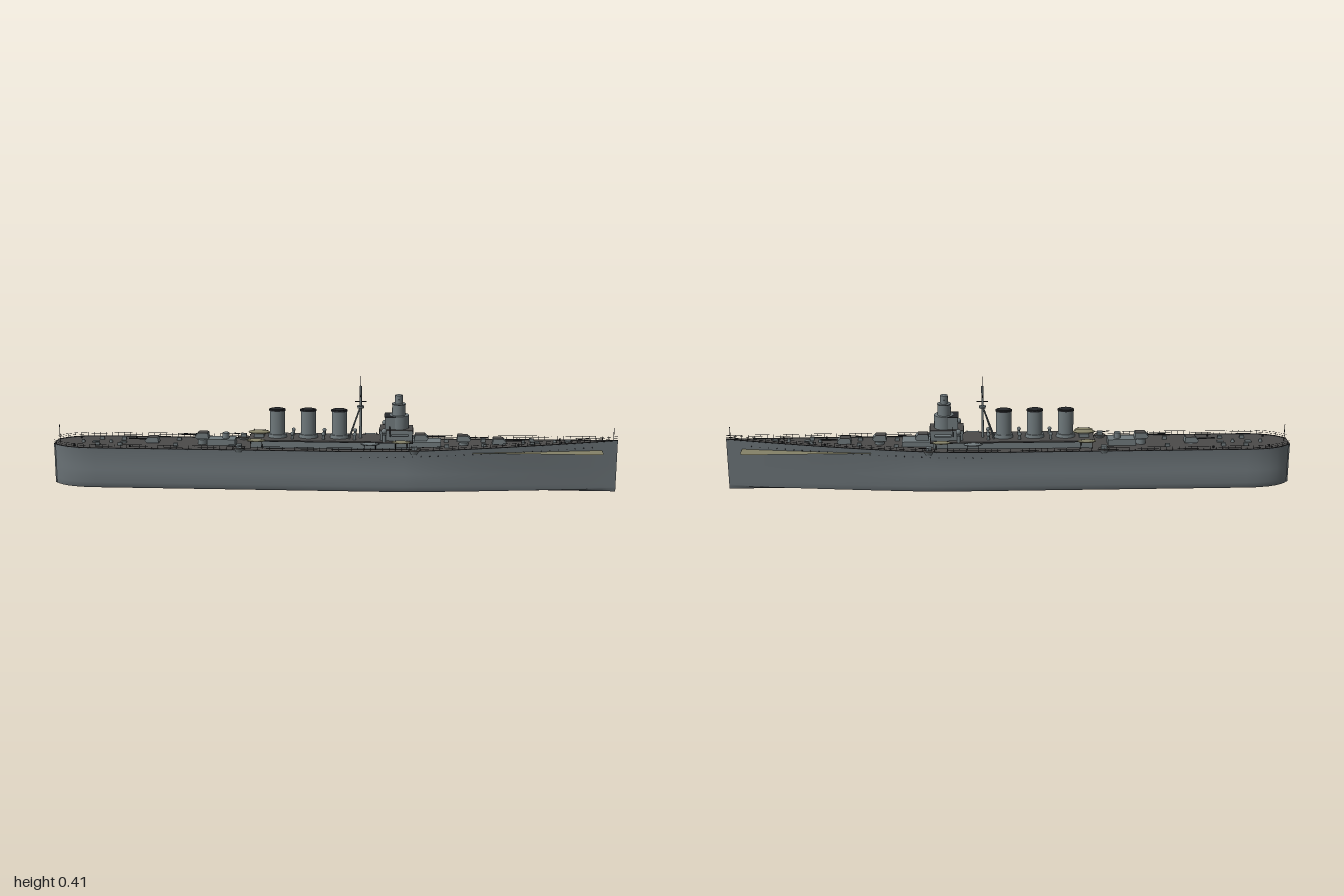
import * as THREE from 'three';
import { mergeGeometries, toCreasedNormals } from 'three/addons/utils/BufferGeometryUtils.js';

const mat = (name, color, side = THREE.FrontSide) => {
  const m = new THREE.MeshStandardMaterial({ color, side });
  m.name = name;
  return m;
};

// Half beam and deck height along the ship; lower levels are finer at the bow
function beam(x, low = 0) {
  if (x < -0.84) return 0.0875 * Math.max(0.36, Math.sqrt(Math.max(0, 1 - ((-0.84 - x) / 0.165) ** 2.3)));
  if (x < 0.25) return 0.0875;
  return Math.max(0.0006, 0.0875 * (1 - ((x - 0.25) / 0.75) ** (1.4 - 0.25 * low)));
}
const deckY = (x) => 0.155 + 0.032 * Math.max(0, (x - 0.1) / 0.9) ** 1.3;
const stations = [-1, -0.995, -0.985, -0.97, -0.95, -0.92, -0.88, -0.84];
for (let x = -0.7; x < 0.2; x += 0.15) stations.push(x);
for (let x = 0.25; x <= 1.001; x += 0.05) stations.push(Math.min(x, 1));

// Skin a list of rings of points
function loft(rings) {
  const pos = rings.flat(2), idx = [], n = rings[0].length;
  for (let i = 0; i < rings.length - 1; i++) for (let j = 0; j < n - 1; j++) {
    const a = i * n + j, b = a + n;
    idx.push(a, b, a + 1, b, b + 1, a + 1);
  }
  const g = new THREE.BufferGeometry();
  g.setAttribute('position', new THREE.Float32BufferAttribute(pos, 3));
  g.setIndex(idx);
  return toCreasedNormals(g, 0.6);
}

export function createModel() {
  const ship = new THREE.Group();
  ship.name = 'cruiser';
  const hullGrey = mat('hull grey', 0x687074, THREE.DoubleSide);
  const grey = mat('superstructure grey', 0x707a7d);
  const deckGrey = mat('deck grey', 0x4c4b4a, THREE.DoubleSide);
  const dark = mat('dark fittings', 0x25272a);
  const olive = mat('canvas olive', 0x858268);

  const add = (name, geo, m, x = 0, y = 0, z = 0, parent = ship) => {
    const mesh = new THREE.Mesh(geo, m);
    mesh.name = name;
    mesh.position.set(x, y, z);
    parent.add(mesh);
    return mesh;
  };
  // Boxes and cylinders stand on the given height
  const box = (name, m, l, h, d, x, y, z = 0, p = ship) => add(name, new THREE.BoxGeometry(l, h, d), m, x, y + h / 2, z, p);
  const cyl = (name, m, r0, r1, h, x, y, z = 0, p = ship, seg = 16) =>
    add(name, new THREE.CylinderGeometry(r1, r0, h, seg), m, x, y + h / 2, z, p);
  const rod = (name, m, a, b, r, p = ship) => {
    const A = new THREE.Vector3(...a), B = new THREE.Vector3(...b);
    return add(name, new THREE.TubeGeometry(new THREE.LineCurve3(A, B), 1, r, 6), m, 0, 0, 0, p);
  };

  // Hull with side bulge and shallow V bottom
  const section = (x) => {
    const D = deckY(x), w = beam(x), l = beam(x, 1);
    const half = [[0, 0], [l * 0.95, 0.010], [l * 0.99, 0.016], [l, 0.03], [l, 0.075],
      [l * 0.95 + (w - l) * 0.4, 0.092], [w * 0.985, D]];
    return [...half.slice(1).reverse().map(([z, y]) => [x, y, -z]), ...half.map(([z, y]) => [x, y, z])];
  };
  add('hull', loft(stations.map(section)), hullGrey);
  const end = section(-1).map(([, y, z]) => new THREE.Vector2(z, y));
  add('sternPlate', new THREE.ShapeGeometry(new THREE.Shape(end)), hullGrey, -1).rotation.y = -Math.PI / 2;
  add('deck', loft(stations.map((x) => [1, -1].map((s) => [x, deckY(x) - 0.001, s * beam(x) * 0.985]))), deckGrey);

  // Flat olive plate projecting at the bow
  const plate = new THREE.Shape();
  plate.moveTo(0.4, -0.07).lineTo(0.925, -0.07).quadraticCurveTo(0.945, -0.07, 0.945, -0.05)
    .lineTo(0.945, 0.05).quadraticCurveTo(0.945, 0.07, 0.925, 0.07).lineTo(0.4, 0.07);
  add('bowPlate', new THREE.ShapeGeometry(plate), mat('plate olive', 0x858268, THREE.DoubleSide), 0, 0.152).rotation.x = -Math.PI / 2;

  // Railings, deck edge strip and portholes
  const posts = [], holes = [];
  for (const s of [1, -1]) {
    for (let x = -0.99; x < 0.99; x += 0.022)
      posts.push(new THREE.BoxGeometry(0.0012, 0.014, 0.0012).translate(x, deckY(x) + 0.007, s * beam(x) * 0.97));
    const line = (dy) => new THREE.CatmullRomCurve3(stations.map((x) => new THREE.Vector3(x, deckY(x) + dy, s * beam(x) * 0.97)));
    for (const dy of [0.007, 0.014]) posts.push(new THREE.TubeGeometry(line(dy), 90, 0.0005, 4));
    posts.push(new THREE.TubeGeometry(line(0), 90, 0.0015, 4));
    for (let x = 0.1; x < 0.92; x += 0.03) {
      const y = deckY(x) - 0.02;
      holes.push(new THREE.CylinderGeometry(0.0022, 0.0022, 0.003, 8).rotateX(Math.PI / 2).translate(x, y, s * beam(x) * 0.972));
    }
  }
  add('railings', mergeGeometries(posts), dark);
  add('portholes', mergeGeometries(holes), dark);
  rod('bowStaff', dark, [0.985, 0.185, 0], [0.985, 0.232, 0], 0.0012);
  rod('sternStaff', dark, [-0.985, 0.155, 0], [-0.985, 0.217, 0], 0.0012);

  // Midships deckhouse and boat deck
  box('deckhouse', grey, 0.56, 0.026, 0.09, -0.01, 0.154);
  box('boatDeck', deckGrey, 0.58, 0.004, 0.108, -0.01, 0.18);
  box('boatDeckEdge', dark, 0.582, 0.002, 0.11, -0.01, 0.179);
  box('aftHouse', grey, 0.1, 0.022, 0.05, -0.4, 0.154);
  box('foreHouse', grey, 0.12, 0.024, 0.06, 0.32, 0.154);

  // Three oval funnels
  [-0.2, -0.09, 0.02].forEach((x) => {
    const f = new THREE.Group();
    f.name = 'funnel';
    f.position.x = x;
    f.scale.z = 0.78;
    ship.add(f);
    cyl('funnelBase', grey, 0.034, 0.032, 0.012, 0, 0.184, 0, f, 24);
    cyl('funnelCasing', grey, 0.027, 0.027, 0.1, 0, 0.184, 0, f, 24);
    cyl('funnelRim', dark, 0.0295, 0.0295, 0.005, 0, 0.28, 0, f, 24);
    cyl('funnelMouth', dark, 0.024, 0.024, 0.003, 0, 0.284, 0, f, 24);
  });

  // Stepped bridge tower
  box('bridgeBase', grey, 0.115, 0.036, 0.074, 0.222, 0.184);
  box('bridgeWindows', dark, 0.119, 0.009, 0.068, 0.222, 0.207);
  for (let i = -3; i <= 3; i++) box('windowPillar', grey, 0.122, 0.009, 0.003, 0.222, 0.207, i * 0.0105);
  box('bridgeWings', grey, 0.06, 0.004, 0.11, 0.235, 0.203);
  box('bridgeRoof', deckGrey, 0.118, 0.003, 0.078, 0.222, 0.22);
  cyl('bridgeTier', grey, 0.034, 0.034, 0.048, 0.232, 0.222, 0, ship, 20);
  box('bridgeTierBack', grey, 0.045, 0.044, 0.06, 0.205, 0.222);
  box('tierEdge', dark, 0.04, 0.003, 0.064, 0.2, 0.266);
  cyl('controlTier', grey, 0.0235, 0.0235, 0.042, 0.23, 0.269, 0, ship, 20);
  cyl('controlEdge', dark, 0.0245, 0.0245, 0.002, 0.23, 0.308, 0, ship, 20);
  cyl('director', grey, 0.0135, 0.0135, 0.031, 0.23, 0.31, 0, ship, 16);
  rod('rangefinder', dark, [0.23, 0.326, -0.018], [0.23, 0.326, 0.018], 0.002);

  // Tripod mast
  cyl('mast', grey, 0.005, 0.0038, 0.19, 0.095, 0.182, 0, ship, 10);
  rod('topmast', dark, [0.095, 0.37, 0], [0.095, 0.408, 0], 0.0013);
  for (const s of [1, -1]) rod('mastLeg', grey, [0.055, 0.182, s * 0.022], [0.095, 0.3, 0], 0.0028);
  rod('yardarm', dark, [0.095, 0.338, -0.034], [0.095, 0.338, 0.034], 0.0018);
  rod('crossYard', dark, [0.075, 0.316, 0], [0.115, 0.316, 0], 0.0015);
  cyl('mastTop', grey, 0.011, 0.013, 0.008, 0.095, 0.292, 0, ship, 12);

  // Main guns: [x, foot height, direction]
  [[-0.65, 0.154, -1], [-0.47, 0.172, -1], [0.31, 0.176, 1], [0.46, 0.174, 1], [0.585, 0.165, 1]].forEach(([x, y, dir]) => {
    const t = new THREE.Group();
    t.name = 'gunTurret';
    t.position.set(x, y, 0);
    t.rotation.y = dir > 0 ? 0 : Math.PI;
    ship.add(t);
    cyl('barbette', grey, 0.017, 0.017, y - 0.145, 0, 0.145 - y, 0, t);
    const shield = new THREE.Shape();
    shield.moveTo(-0.025, 0.004).lineTo(0.019, 0.004).lineTo(0.025, 0.012).lineTo(0.014, 0.024).lineTo(-0.022, 0.024);
    add('gunShield', new THREE.ExtrudeGeometry(shield, { depth: 0.036, bevelEnabled: false }), grey, 0, 0, -0.018, t);
    box('shieldRoof', deckGrey, 0.034, 0.001, 0.034, -0.004, 0.024, 0, t);
    rod('gunBarrel', dark, [0.018, 0.014, 0], [0.085, 0.016, 0], 0.0024, t);
  });

  // Paired fittings on both sides
  for (const s of [1, -1]) {
    for (const x of [-0.33, 0.285]) {
      cyl('sponson', grey, 0.014, 0.019, 0.012, x, 0.148, s * 0.075);
      cyl('sponsonFloor', deckGrey, 0.02, 0.02, 0.002, x, 0.16, s * 0.075);
      box('sideGun', grey, 0.02, 0.012, 0.016, x, 0.162, s * 0.075);
      rod('sideGunBarrel', dark, [x, 0.17, s * 0.078], [x + Math.sign(x) * 0.035, 0.173, s * 0.082], 0.0016);
    }
    // Canvas covered boats on davits
    for (const [x, y] of [[-0.27, 0.186], [0.24, 0.186], [0.13, 0.178]]) {
      const boat = add('boat', new THREE.SphereGeometry(1, 14, 8), x === 0.13 ? grey : olive, x, y, s * 0.064);
      boat.scale.set(0.034, 0.006, 0.0115);
      for (const d of [-0.02, 0.02]) rod('davit', dark, [x + d, 0.155, s * 0.056], [x + d, y + 0.008, s * 0.068], 0.0012);
    }
    // Director posts beside the bridge
    cyl('directorPost', grey, 0.006, 0.006, 0.035, 0.18, 0.184, s * 0.05);
    box('directorArm', grey, 0.016, 0.004, 0.026, 0.18, 0.212, s * 0.06);
    add('sideDirector', new THREE.SphereGeometry(0.0095, 14, 10), grey, 0.18, 0.225, s * 0.062);
    rod('signalPole', dark, [0.2, 0.2, s * 0.044], [0.2, 0.238, s * 0.044], 0.0015);
    // Ventilators and deck lockers
    for (const x of [-0.145, -0.035, 0.075]) {
      cyl('ventilator', grey, 0.005, 0.005, 0.018, x, 0.183, s * 0.03, ship, 10);
      add('ventCowl', new THREE.SphereGeometry(0.007, 10, 8), grey, x, 0.203, s * 0.03);
    }
    for (const x of [-0.84, -0.76, -0.56, 0.4, 0.53, 0.7])
      box('deckLocker', grey, 0.016, 0.012, 0.01, x, deckY(x) - 0.002, s * beam(x) * 0.45);
    for (const x of [-0.92, -0.72, 0.65, 0.8]) cyl('bollard', dark, 0.003, 0.003, 0.008, x, deckY(x) - 0.001, s * beam(x) * 0.7, ship, 8);
  }

  // Raised aft boat platform and centreline gear
  box('platformHouse', grey, 0.035, 0.014, 0.04, -0.265, 0.183);
  const launch = add('launch', new THREE.SphereGeometry(1, 14, 8), olive, -0.265, 0.2, 0);
  launch.scale.set(0.04, 0.007, 0.018);
  cyl('aftDirector', grey, 0.012, 0.012, 0.022, -0.385, 0.174);
  for (const x of [-0.9, -0.8, 0.67, 0.78]) {
    cyl('capstan', grey, 0.007, 0.005, 0.01, x, deckY(x) - 0.001, 0, ship, 12);
    box('hatch', grey, 0.022, 0.006, 0.016, x + 0.045, deckY(x + 0.045) - 0.002);
  }
  return ship;
}
